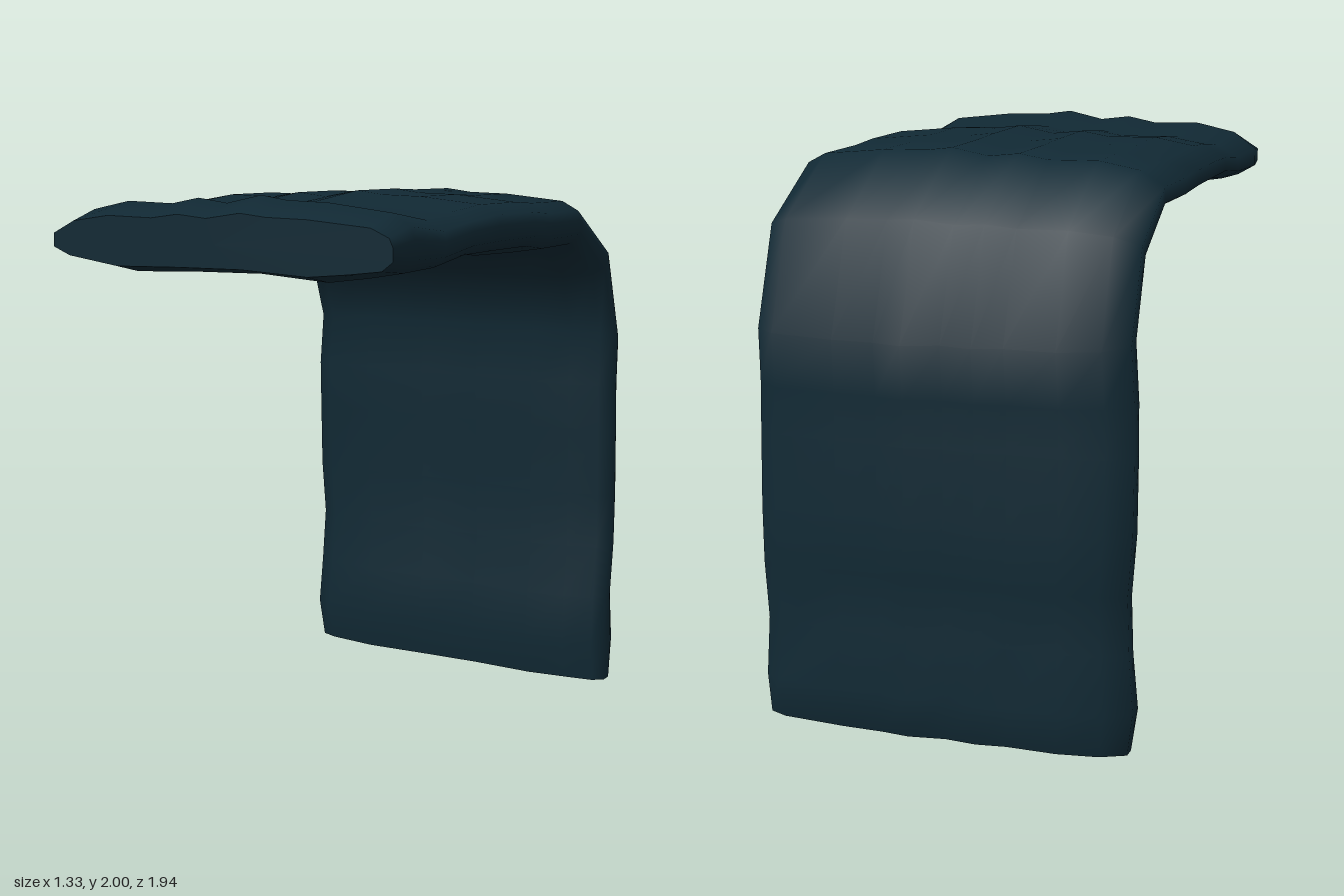
import * as THREE from 'three';

// Side outline, bottom end to front end: [innerY, innerZ, outerY, outerZ, rightEdgeX]
const SECTIONS = [
  [0, -0.73, 0, -0.92, -0.645],
  [0.15, -0.70, 0.15, -0.968, -0.665],
  [0.34, -0.71, 0.35, -0.925, -0.645],
  [0.54, -0.735, 0.57, -0.95, -0.645],
  [0.76, -0.73, 0.76, -0.957, -0.66],
  [1.02, -0.725, 1.02, -0.945, -0.66],
  [1.2, -0.71, 1.18, -0.94, -0.655],
  [1.41, -0.72, 1.36, -0.945, -0.645],
  [1.62, -0.64, 1.755, -0.805, -0.645],
  [1.735, -0.45, 1.96, -0.46, -0.645],
  [1.735, -0.2, 1.968, -0.2, -0.648],
  [1.755, -0.07, 1.978, -0.05, -0.66],
  [1.76, 0.22, 1.985, 0.22, -0.655],
  [1.765, 0.42, 1.97, 0.42, -0.645],
  [1.74, 0.64, 1.955, 0.6, -0.645],
  [1.73, 0.83, 2.0, 0.83, -0.665],
  [1.76, 0.97, 1.95, 0.97, -0.645],
];

// Rumpled cross-section: [x from -1 to 1, blend from inner face (0) to outer face (1)]
const PROFILE = [
  [-1, 0.28], [-1, 0.52], [-0.87, 0.75], [-0.65, 0.87], [-0.38, 0.86], [-0.22, 0.94],
  [-0.05, 0.89], [0.15, 1], [0.3, 0.95], [0.53, 0.94], [0.88, 0.85], [0.98, 0.7],
  [1, 0.55], [1, 0.32], [0.94, 0.16], [0.76, 0.08], [0.53, 0], [0.15, 0.06],
  [-0.22, 0.04], [-0.6, 0], [-0.9, 0.14],
];

const LEFT_EDGE = 0.66;

function sectionPoint([iy, iz, oy, oz, right], [u, t]) {
  const x = THREE.MathUtils.lerp(right, LEFT_EDGE, (u + 1) / 2);
  return [x, iy + (oy - iy) * t, iz + (oz - iz) * t];
}

function makeGeometry(points, index) {
  const g = new THREE.BufferGeometry();
  g.setAttribute('position', new THREE.Float32BufferAttribute(points.flat(), 3));
  g.setIndex(index);
  g.computeVertexNormals();
  return g;
}

// Loft the cross-section along the bent outline
function bentSlab() {
  const n = PROFILE.length;
  const points = SECTIONS.flatMap((s) => PROFILE.map((p) => sectionPoint(s, p)));
  const index = [];
  for (let r = 0; r < SECTIONS.length - 1; r++) {
    for (let i = 0; i < n; i++) {
      const a = r * n + i;
      const b = r * n + ((i + 1) % n);
      index.push(a, a + n, b, b, a + n, b + n);
    }
  }
  return makeGeometry(points, index);
}

// Flat end face fanned from its middle
function endCap(section, flip) {
  const n = PROFILE.length;
  const points = [sectionPoint(section, [0, 0.45]), ...PROFILE.map((p) => sectionPoint(section, p))];
  const index = [];
  for (let i = 0; i < n; i++) {
    const a = 1 + i;
    const b = 1 + ((i + 1) % n);
    index.push(0, flip ? b : a, flip ? a : b);
  }
  return makeGeometry(points, index);
}

export function createModel() {
  const group = new THREE.Group();
  group.name = 'bentSlab';
  const darkTeal = new THREE.MeshStandardMaterial({ color: 0x112934 });
  darkTeal.name = 'darkTeal';

  const add = (name, geometry) => {
    const mesh = new THREE.Mesh(geometry, darkTeal);
    mesh.name = name;
    group.add(mesh);
  };
  add('slabBody', bentSlab());
  add('bottomEnd', endCap(SECTIONS[0], false));
  add('frontEnd', endCap(SECTIONS[SECTIONS.length - 1], true));
  return group;
}
